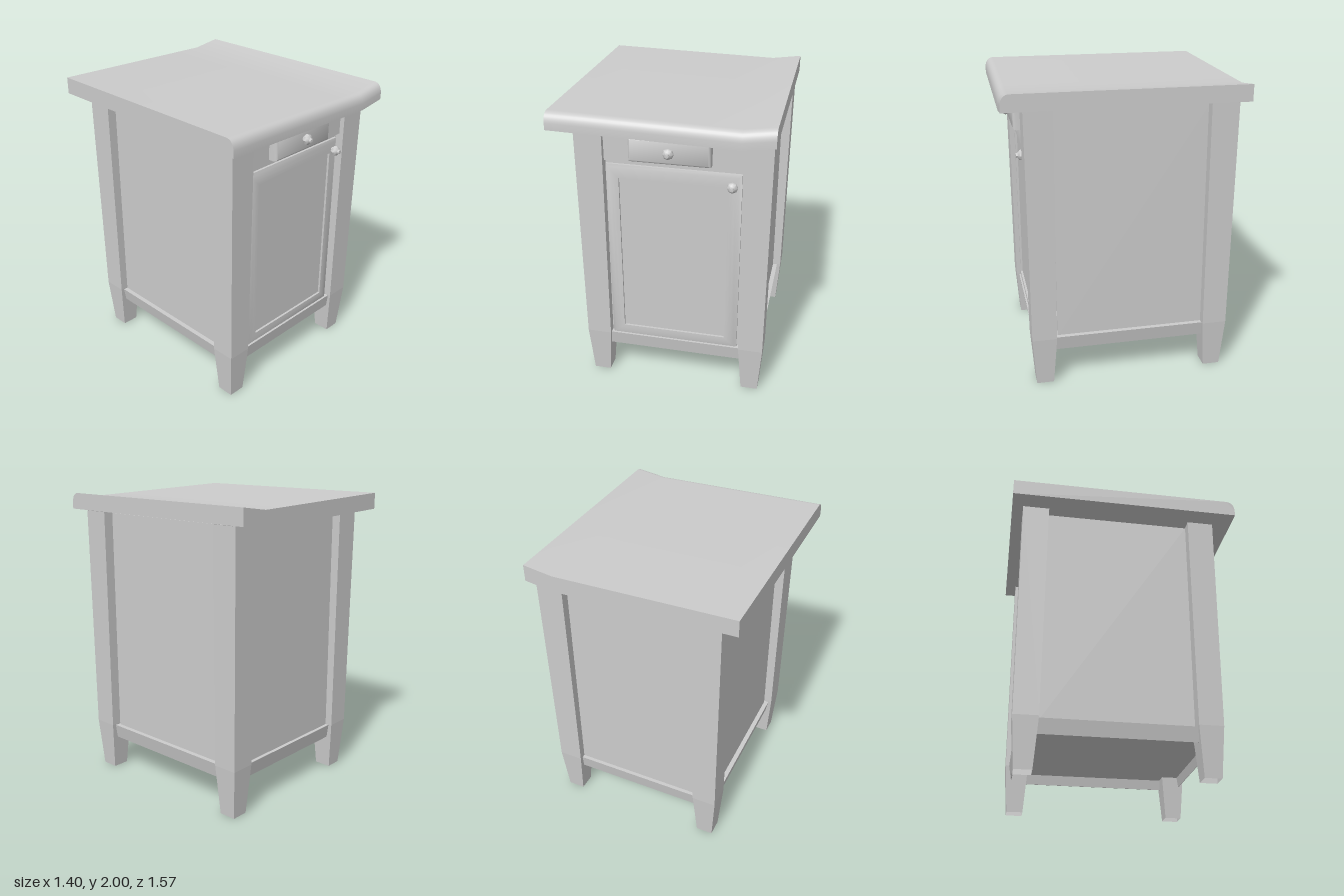
import * as THREE from 'three';
import { toCreasedNormals } from 'three/addons/utils/BufferGeometryUtils.js';

const material = new THREE.MeshStandardMaterial({ color: 0xcccccc, side: THREE.DoubleSide });

function add(group, name, geometry) {
  const mesh = new THREE.Mesh(geometry, material);
  mesh.name = name;
  group.add(mesh);
  return mesh;
}

// Box given by its limits on each axis
function block(group, name, [x0, x1], [y0, y1], [z0, z1]) {
  const geo = new THREE.BoxGeometry(x1 - x0, y1 - y0, z1 - z0);
  geo.translate((x0 + x1) / 2, (y0 + y1) / 2, (z0 + z1) / 2);
  return add(group, name, geo);
}

// Bottom rail whose section narrows to a thin lower edge across its short side
function rail(group, name, xs, zs) {
  const geo = block(group, name, xs, [0.235, 0.335], zs).geometry;
  const alongZ = zs[1] - zs[0] > xs[1] - xs[0];
  const [from, to] = alongZ ? xs : zs;
  const mid = (from + to) / 2;
  const pos = geo.attributes.position;
  for (let i = 0; i < pos.count; i++) {
    if (pos.getY(i) > 0.28) continue;
    if (alongZ) pos.setX(i, mid + (pos.getX(i) - mid) * 0.1);
    else pos.setZ(i, mid + (pos.getZ(i) - mid) * 0.1);
  }
  geo.computeVertexNormals();
}

// Mitred panel: a rectangle stepped inwards along a profile of [inset, z], closed in front
function mouldedPanel([x0, x1], [y0, y1], profile) {
  const ring = ([d, z]) => [
    [x0 + d, y0 + d, z], [x1 - d, y0 + d, z], [x1 - d, y1 - d, z], [x0 + d, y1 - d, z],
  ];
  const pos = [];
  const quad = (a, b, c, d) => [a, b, c, a, c, d].forEach((p) => pos.push(...p));
  for (let i = 0; i + 1 < profile.length; i++) {
    const outer = ring(profile[i]);
    const inner = ring(profile[i + 1]);
    for (let k = 0; k < 4; k++) {
      const n = (k + 1) % 4;
      quad(outer[k], outer[n], inner[n], inner[k]);
    }
  }
  quad(...ring(profile[profile.length - 1]));
  const geo = new THREE.BufferGeometry();
  geo.setAttribute('position', new THREE.Float32BufferAttribute(pos, 3));
  return toCreasedNormals(geo, 0.7);
}

// Hollow square leg, open below: slightly tapered post, strongly tapered foot
function legGeometry() {
  const profile = [[0.115, 0], [0.165, 0.34], [0.182, 1.885]]
    .map(([width, y]) => new THREE.Vector2(width / Math.SQRT2, y));
  const geo = new THREE.LatheGeometry(profile, 4).toNonIndexed();
  geo.rotateY(Math.PI / 4);
  geo.computeVertexNormals();
  return geo;
}

// Slab with a rounded front edge, sagging towards the right-hand end
function topGeometry() {
  const side = new THREE.Shape();
  side.moveTo(-0.785, 1.89);
  side.lineTo(0.785, 1.89);
  side.lineTo(0.785, 1.935);
  side.quadraticCurveTo(0.778, 2, 0.725, 2);
  side.lineTo(-0.785, 2);
  side.closePath();
  const geo = new THREE.ExtrudeGeometry(side, {
    depth: 1.4, steps: 7, bevelEnabled: false, curveSegments: 8,
  });
  geo.rotateY(-Math.PI / 2);
  geo.translate(0.7, 0, 0);
  const pos = geo.attributes.position;
  for (let i = 0; i < pos.count; i++) {
    const x = pos.getX(i);
    const sag = x < 0.5 ? (x + 0.7) / 1.2 : (0.7 - x) / 0.2;
    pos.setY(i, pos.getY(i) - 0.028 * sag);
  }
  return toCreasedNormals(geo, 0.6);
}

function knobGeometry() {
  const profile = [
    [0.02, 0], [0.02, 0.008], [0.033, 0.017], [0.036, 0.028], [0.032, 0.04], [0.016, 0.052],
    [0.014, 0.064], [0, 0.068],
  ].map(([r, h]) => new THREE.Vector2(r, h));
  const geo = new THREE.LatheGeometry(profile, 8);
  geo.rotateX(Math.PI / 2);
  return toCreasedNormals(geo, 0.6);
}

export function createModel() {
  const model = new THREE.Group();
  model.name = 'bedsideCabinet';

  add(model, 'tableTop', topGeometry());

  // Legs
  const leg = legGeometry();
  for (const [xName, x] of [['Left', 0.589], ['Right', -0.481]]) {
    for (const [zName, z] of [['front', 0.562], ['back', -0.618]]) {
      add(model, `${zName}${xName}Leg`, leg).position.set(x, 0, z);
    }
  }

  // Thin side and back panels, with rails standing proud below them
  const panelY = [0.32, 1.875];
  block(model, 'leftPanel', [0.6, 0.613], panelY, [-0.54, 0.468]);
  block(model, 'rightPanel', [-0.508, -0.495], panelY, [-0.54, 0.468]);
  block(model, 'backPanel', [-0.4, 0.51], panelY, [-0.65, -0.637]);
  rail(model, 'leftRail', [0.6, 0.645], [-0.55, 0.495]);
  rail(model, 'rightRail', [-0.54, -0.495], [-0.55, 0.495]);
  rail(model, 'backRail', [-0.415, 0.525], [-0.675, -0.635]);
  rail(model, 'frontRail', [-0.415, 0.525], [0.59, 0.625]);
  block(model, 'floor', [-0.5, 0.605], [0.305, 0.32], [-0.64, 0.6]);

  // Front: backing, drawer surround, drawer and door
  block(model, 'frontBacking', [-0.4, 0.51], panelY, [0.575, 0.588]);
  block(model, 'drawerSurround', [-0.39, 0.498], [1.655, 1.878], [0.585, 0.62]);
  add(model, 'drawerFront', mouldedPanel([-0.217, 0.303], [1.683, 1.845],
    [[0, 0.615], [0, 0.662], [0.004, 0.675], [0.014, 0.682]]));
  add(model, 'door', mouldedPanel([-0.387, 0.488], [0.321, 1.626], [
    [0, 0.585], [0, 0.604], [0.02, 0.612], [0.045, 0.618], [0.07, 0.621], [0.087, 0.621], [0.087, 0.606],
  ]));

  // Knobs
  const knob = knobGeometry();
  add(model, 'drawerKnob', knob).position.set(0.045, 1.767, 0.678);
  add(model, 'doorKnob', knob).position.set(0.433, 1.555, 0.618);

  return model;
}
